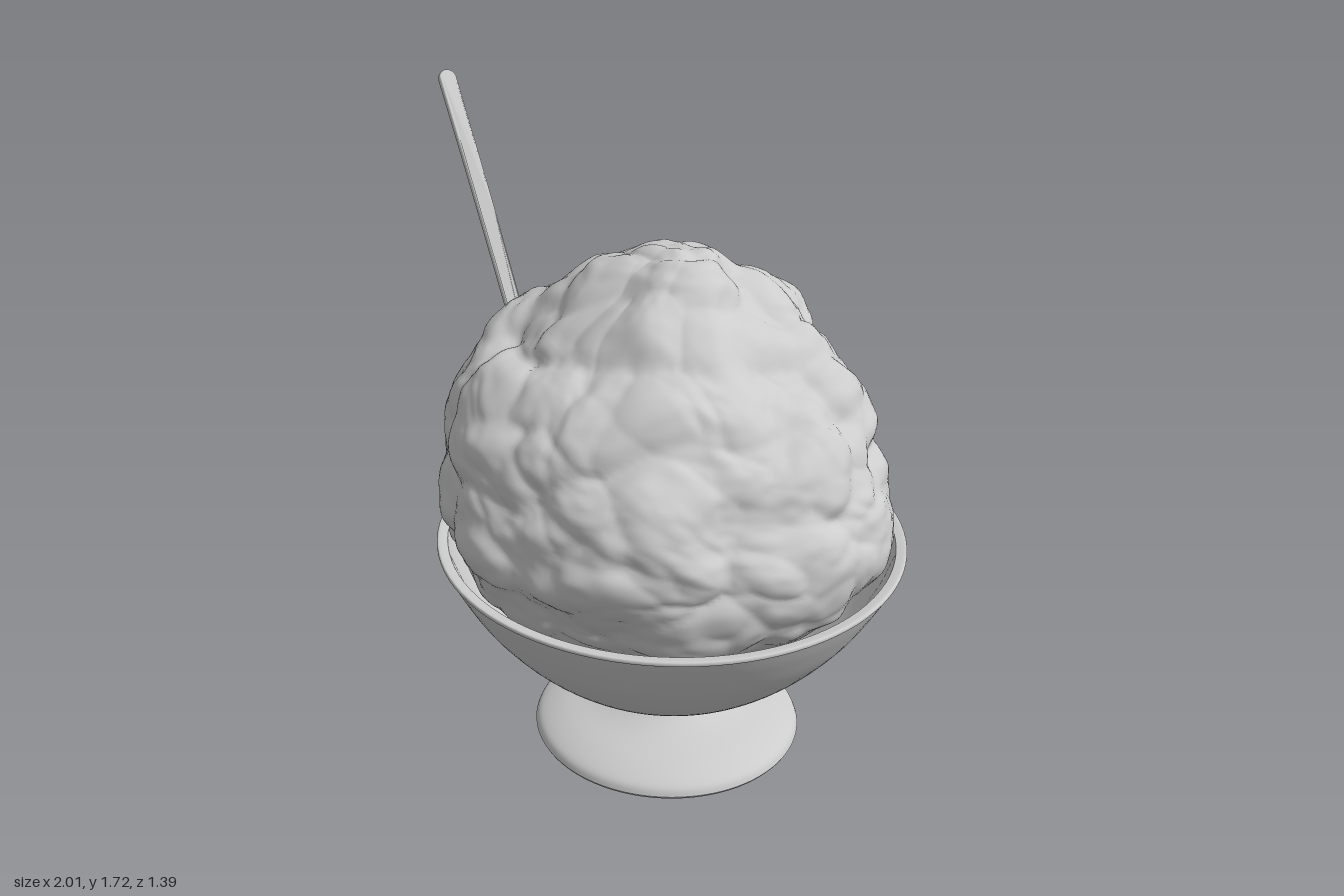
import * as THREE from 'three';
import { mergeVertices } from 'three/addons/utils/BufferGeometryUtils.js';

const CX = 0.32, CZ = -0.01;   // axis of the bowl

// Repeatable hash in 0..1
function hash(x, y, z, s) {
  let h = Math.imul(x, 374761393) ^ Math.imul(y, 668265263) ^ Math.imul(z, 2147482634) ^ Math.imul(s, 974634777);
  h = Math.imul(h ^ (h >>> 13), 1274126177);
  h = Math.imul(h ^ (h >>> 15), 2246822519);
  return ((h ^ (h >>> 16)) >>> 0) / 4294967296;
}

// Smooth value noise, -1..1
function noise(x, y, z, s) {
  const X = Math.floor(x), Y = Math.floor(y), Z = Math.floor(z);
  const f = (t) => t * t * (3 - 2 * t);
  const u = f(x - X), v = f(y - Y), w = f(z - Z);
  let sum = 0;
  for (let i = 0; i < 2; i++) for (let j = 0; j < 2; j++) for (let k = 0; k < 2; k++) {
    sum += hash(X + i, Y + j, Z + k, s) * (i ? u : 1 - u) * (j ? v : 1 - v) * (k ? w : 1 - w);
  }
  return sum * 2 - 1;
}

// Rounded lumps with creases between them, 0 at a lump's middle and negative towards its edge
function lumps(x, y, z, s) {
  const X = Math.floor(x), Y = Math.floor(y), Z = Math.floor(z);
  let best = 9;
  for (let i = -1; i < 2; i++) for (let j = -1; j < 2; j++) for (let k = -1; k < 2; k++) {
    const a = X + i, b = Y + j, c = Z + k;
    const dx = a + hash(a, b, c, s) - x, dy = b + hash(a, b, c, s + 1) - y, dz = c + hash(a, b, c, s + 2) - z;
    best = Math.min(best, dx * dx + dy * dy + dz * dz);
  }
  return -best;
}

// Outline of the heap on its four sides, as radii at shared heights
const HEIGHTS = [0.3, 0.5, 0.62, 0.7, 0.8, 0.9, 1.0, 1.1, 1.2, 1.3, 1.4, 1.48, 1.55, 1.57];
const SIDES = {
  left: [0.2, 0.46, 0.59, 0.63, 0.65, 0.63, 0.59, 0.545, 0.47, 0.37, 0.22, 0.15, 0.09, 0],
  right: [0.2, 0.48, 0.6, 0.64, 0.64, 0.63, 0.62, 0.6, 0.57, 0.5, 0.35, 0.24, 0.13, 0],
  front: [0.2, 0.46, 0.58, 0.62, 0.675, 0.67, 0.655, 0.615, 0.55, 0.46, 0.31, 0.17, 0.08, 0],
  back: [0.2, 0.42, 0.54, 0.58, 0.575, 0.565, 0.56, 0.53, 0.49, 0.45, 0.32, 0.2, 0.11, 0],
};

function heapGeometry() {
  const rows = 130;
  const curves = {};
  for (const side in SIDES) {
    curves[side] = new THREE.SplineCurve(SIDES[side].map((r, i) => new THREE.Vector2(r, HEIGHTS[i])));
  }
  const grid = Array.from({ length: rows + 1 }, (_, i) => new THREE.Vector2(1, i / rows));
  let geo = new THREE.LatheGeometry(grid, 260);
  const pos = geo.attributes.position;
  // Blend the four outlines around the axis
  for (let i = 0; i < pos.count; i++) {
    const sx = pos.getX(i), sz = pos.getZ(i), t = pos.getY(i);
    const a = curves[sx > 0 ? 'left' : 'right'].getPoint(t);
    const b = curves[sz > 0 ? 'front' : 'back'].getPoint(t);
    const r = t > 0.9999 ? 0 : Math.max(0, a.x * sx * sx + b.x * sz * sz);
    pos.setXYZ(i, r * sx, a.y * sx * sx + b.y * sz * sz, r * sz);
  }
  geo.deleteAttribute('uv');
  geo.deleteAttribute('normal');
  geo = mergeVertices(geo, 1e-5);
  geo.computeVertexNormals();
  // Push the surface in and out into lumps, creases and fine crumples
  const p = geo.attributes.position, n = geo.attributes.normal;
  for (let i = 0; i < p.count; i++) {
    const x = p.getX(i), y = p.getY(i), z = p.getZ(i);
    const wx = x + 0.05 * noise(x * 6, y * 6, z * 6, 3);
    const wy = y + 0.05 * noise(x * 6, y * 6, z * 6, 4);
    const wz = z + 0.05 * noise(x * 6, y * 6, z * 6, 5);
    let d = 0.026 + 0.075 * lumps(wx * 2.8, wy * 3.8, wz * 2.8, 11)
      + 0.042 * lumps(wx * 5.5, wy * 7.5, wz * 5.5, 21)
      + 0.008 * noise(wx * 12, wy * 20, wz * 12, 31)
      + 0.003 * noise(wx * 26, wy * 40, wz * 26, 41);
    d *= THREE.MathUtils.smoothstep(y, 0.45, 0.7);
    p.setXYZ(i, x + n.getX(i) * d, y + n.getY(i) * d, z + n.getZ(i) * d);
  }
  geo.computeVertexNormals();
  return geo;
}

// Turned part: each run of points is smoothed, with sharp edges between runs
function turned(name, runs, material) {
  const group = new THREE.Group();
  group.name = name;
  for (const run of runs) {
    const pts = run.map(([r, y]) => new THREE.Vector2(r, y));
    const profile = pts.length > 2 ? new THREE.SplineCurve(pts).getPoints(pts.length * 5) : pts;
    const mesh = new THREE.Mesh(new THREE.LatheGeometry(profile, 96), material);
    mesh.name = name + 'Surface';
    group.add(mesh);
  }
  group.position.set(CX, 0, CZ);
  return group;
}

// Flat, slightly bowed strip along y with a rounded upper end
function handleGeometry(length) {
  const w = 0.029, steps = 16, bow = -0.014;
  const outline = [];
  for (let i = 0; i <= steps; i++) {
    const t = i / steps;
    outline.push(new THREE.Vector2(w * (0.8 + 0.2 * t), t * (length - w)));
  }
  for (let i = 1; i < steps; i++) {
    const a = Math.PI * i / steps;
    outline.push(new THREE.Vector2(w * Math.cos(a), length - w + w * Math.sin(a)));
  }
  for (let i = steps; i >= 0; i--) outline.push(new THREE.Vector2(-outline[i].x, outline[i].y));
  const geo = new THREE.ExtrudeGeometry(new THREE.Shape(outline), {
    depth: 0.012, bevelThickness: 0.006, bevelSize: 0.005, bevelOffset: -0.005, bevelSegments: 3,
  });
  const p = geo.attributes.position;
  for (let i = 0; i < p.count; i++) {
    const t = p.getY(i) / length;
    p.setZ(i, p.getZ(i) - 0.006 + bow * 4 * t * (1 - t));
  }
  geo.computeVertexNormals();
  return geo;
}

export function createModel() {
  const model = new THREE.Group();
  const material = new THREE.MeshStandardMaterial({ color: 0xcccccc, side: THREE.DoubleSide });

  // Foot: flat underside, small rim, flared top and narrow neck
  model.add(turned('foot', [
    [[0, 0.008], [0.375, 0.008]],
    [[0.375, 0.008], [0.38, 0], [0.395, 0], [0.402, 0.01]],
    [[0.402, 0.01], [0.385, 0.037], [0.32, 0.068], [0.22, 0.098], [0.16, 0.127], [0.131, 0.165], [0.132, 0.195], [0.15, 0.225]],
  ], material));

  // Bowl: outside, rim and inside
  model.add(turned('bowl', [
    [[0, 0.225], [0.19, 0.225]],
    [[0.19, 0.225], [0.25, 0.227], [0.315, 0.242], [0.4, 0.295], [0.495, 0.38], [0.582, 0.485], [0.643, 0.587], [0.675, 0.652]],
    [[0.675, 0.652], [0.681, 0.656], [0.68, 0.665], [0.672, 0.667], [0.65, 0.664]],
    [[0.65, 0.664], [0.618, 0.59], [0.555, 0.485], [0.468, 0.39], [0.37, 0.305], [0.2, 0.255], [0, 0.25]],
  ], material));

  // Lumpy heap
  const heap = new THREE.Mesh(heapGeometry(), material);
  heap.name = 'heap';
  heap.position.set(CX, 0, 0);
  model.add(heap);

  // Spoon handle, stuck into the heap
  const end = new THREE.Vector3(-0.997, 1.717, -0.325);
  const buried = new THREE.Vector3(-0.12, 0.5, -0.04);
  const along = end.clone().sub(buried).normalize();
  const across = new THREE.Vector3(along.z, 0, -along.x).normalize();
  const facing = across.clone().cross(along);
  const handle = new THREE.Mesh(handleGeometry(end.distanceTo(buried)), material);
  handle.name = 'spoonHandle';
  handle.applyMatrix4(new THREE.Matrix4().makeBasis(across, along, facing).setPosition(buried));
  model.add(handle);

  return model;
}
